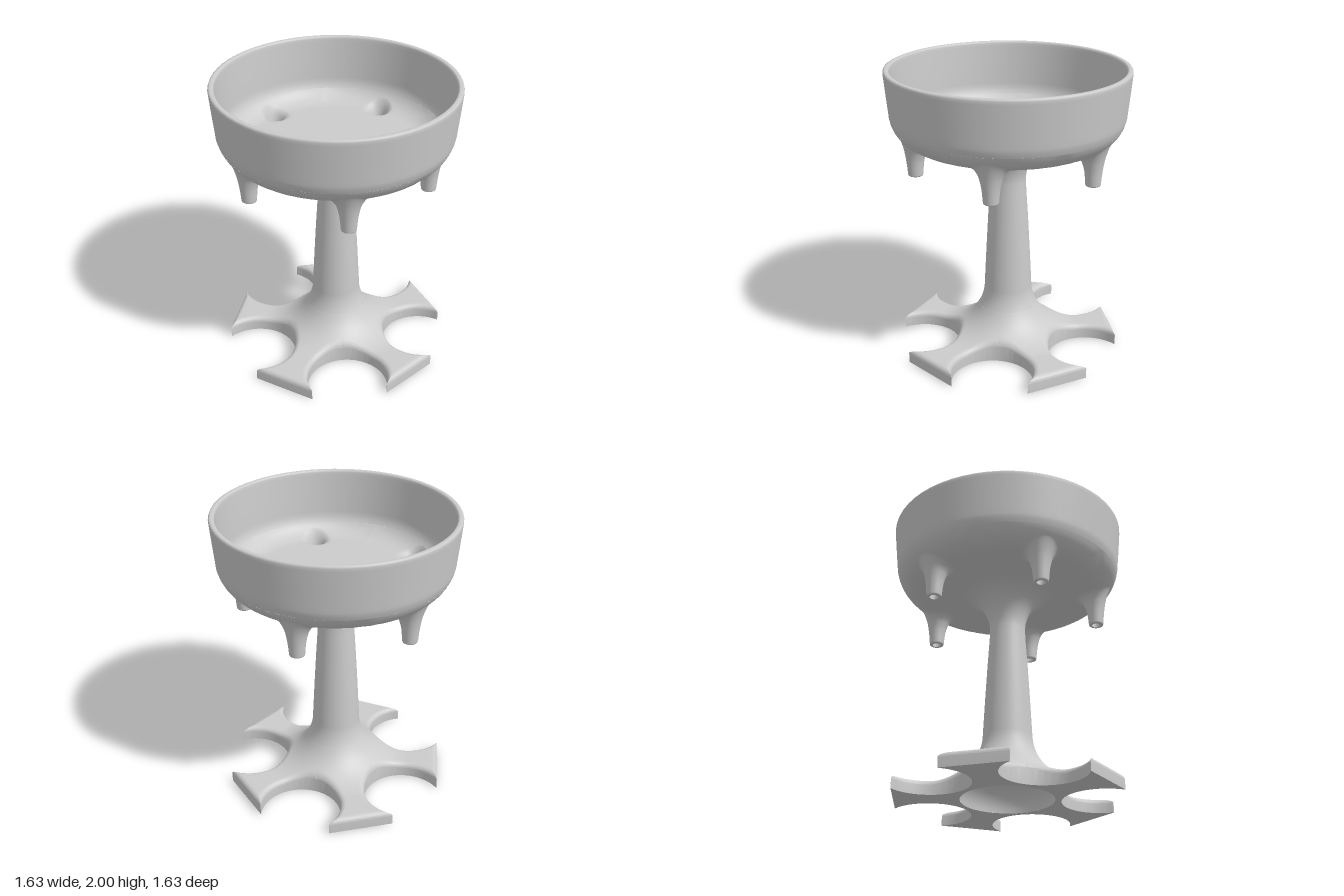
import * as THREE from 'three';
import { mergeGeometries, mergeVertices, toCreasedNormals } from 'three/addons/utils/BufferGeometryUtils.js';

const { PI, cos, sin, sqrt, hypot, abs, max, min } = Math;
const STEP = (2 * PI) / 5;        // fivefold symmetry
const SPOUT_ANGLE = 0.3 * PI;     // first spout, measured from +x towards +z
const ARM_ANGLE = 0.5 * PI;       // first foot points to the front
const SPOUT_R = 0.625;            // distance of spouts from the axis
const CUT_R = 0.274;              // round recess in the foot below each spout
const FOOT = 0.74;                // reach of each foot
const EDGE = 0.035;               // rounding of the upper foot edges
const CORNER = 0.006;             // rounding of the upright foot corners
const COLUMN_R = 0.2;             // radius where column and base meet
const CUT_U = SPOUT_R * cos(PI / 5), CUT_V = SPOUT_R * sin(PI / 5);
const CUT_START = (SPOUT_R - CUT_R) * cos(PI / 5);

// Stations along a foot, closer together at both ends
const STATIONS = [];
for (let k = 0; k < 28; k++) STATIONS.push(CUT_START + (FOOT - EDGE - CUT_START) * (k / 28) ** 1.3);
for (let k = 0; k <= 8; k++) STATIONS.push(FOOT - EDGE + EDGE * sin(k / 8 * PI / 2));

// Grid surface from a rule f(i, j) -> [x, y, z]
function grid(rows, cols, f, flip = false) {
  const pos = [], idx = [];
  for (let i = 0; i < rows; i++) for (let j = 0; j < cols; j++) pos.push(...f(i, j));
  for (let i = 0; i < rows - 1; i++) for (let j = 0; j < cols - 1; j++) {
    const a = i * cols + j, b = a + cols, c = b + 1, d = a + 1;
    idx.push(...(flip ? [a, d, b, b, d, c] : [a, b, d, b, c, d]));
  }
  const g = new THREE.BufferGeometry();
  g.setAttribute('position', new THREE.Float32BufferAttribute(pos, 3));
  g.setIndex(idx);
  return g;
}

// Five turned copies welded into one geometry
function fiveTimes(g, start) {
  const copies = [0, 1, 2, 3, 4].map(k => g.clone().rotateY(-(start + k * STEP)));
  const all = mergeVertices(mergeGeometries(copies), 1e-4);
  all.computeVertexNormals();
  return all;
}

const lathe = pts => new THREE.LatheGeometry(pts.map(p => new THREE.Vector2(p[0], p[1])), 60);

// Height of a rounded dish at radius r: flat floor, then elliptical rise
const dish = (r, r0, a, y0, b) =>
  r < r0 ? y0 : y0 + b * (1 - sqrt(max(0, 1 - ((r - r0) / a) ** 2)));
const outerY = r => dish(r, 0.58, 0.21, 1.5, 0.22);
const innerY = r => dish(r, 0.59, 0.165, 1.545, 0.155);

// One fifth of the dish floor, drawn down into a spout.
// profile entries: [distance from spout axis, y, blend to the dish];
// beyond d0 the flare is shorter on the side of the bowl wall.
function spoutSector(R, baseY, profile, d0, flip) {
  const corner = Math.atan2(R * sin(PI / 5), R * cos(PI / 5) - SPOUT_R);
  const phis = [];
  for (let k = 0; k < 14; k++) phis.push(-PI + (PI - corner) * k / 14);
  for (let k = 0; k < 28; k++) phis.push(-corner + 2 * corner * k / 28);
  for (let k = 0; k <= 14; k++) phis.push(corner + (PI - corner) * k / 14);
  const reach = phi => {
    if (abs(phi) <= corner + 1e-6) {
      const c = SPOUT_R * cos(phi);
      return -c + sqrt(c * c + R * R - SPOUT_R * SPOUT_R);
    }
    return SPOUT_R * sin(PI / 5) / sin(abs(phi) - PI / 5);
  };
  const n = profile.length, extra = 12;
  return grid(n + extra, phis.length, (i, j) => {
    const phi = phis[j], shrink = 1 - 0.2 * (1 + cos(phi));
    let [d, y, t] = profile[min(i, n - 1)];
    if (d > d0) d = d0 + (d - d0) * shrink;
    if (i >= n) d += (reach(phi) - d) * (i - n + 1) / extra;
    const x = SPOUT_R + d * cos(phi), z = d * sin(phi);
    return [x, y * (1 - t) + baseY(hypot(x, z)) * t, z];
  }, flip);
}

// Top of the base: column fillet running out to flat feet
const baseTop = r => r >= 0.52 ? 0.1
  : 0.45 - 0.35 * sqrt(max(0, 1 - ((0.52 - r) / 0.355) ** 2));

// Half width of a foot at distance u from the axis
function footHalf(u) {
  const c = max(0, u - FOOT + CORNER);
  return CUT_V - sqrt(CUT_R ** 2 - (u - CUT_U) ** 2) - CORNER + sqrt(max(0, CORNER ** 2 - c * c));
}

function footGeometry() {
  const cols = 33, inner = 10, rows = inner + STATIONS.length;
  // the extra last row and outer columns form the side walls
  const g = grid(rows + 1, cols + 2, (i, j) => {
    let u = STATIONS[min(max(i - inner, 0), STATIONS.length - 1)];
    const t = (min(max(j - 1, 0), cols - 1) / (cols - 1)) * 2 - 1;
    let v = footHalf(u) * sin(t * PI / 2);
    if (i < inner) {               // fan inwards to the column
      const s0 = COLUMN_R / hypot(u, v), s = s0 + (1 - s0) * i / inner;
      u *= s;
      v *= s;
    }
    const d = max(0, min(hypot(u - CUT_U, abs(v) - CUT_V) - CUT_R, FOOT - u));
    const e = max(0, EDGE - d);
    const top = baseTop(hypot(u, v)) - EDGE + sqrt(max(0, EDGE * EDGE - e * e));
    const wall = i === rows || ((j === 0 || j === cols + 1) && i >= inner);
    return [u, wall ? 0 : top, v];
  }, true);
  return toCreasedNormals(fiveTimes(g, ARM_ANGLE), 0.9);
}

// Flat underside with a round opening
function undersideGeometry() {
  const pts = [];
  for (let k = 0; k < 5; k++) {
    const a = ARM_ANGLE + k * STEP;
    const put = (u, v) =>
      pts.push(new THREE.Vector2(u * cos(a) - v * sin(a), u * sin(a) + v * cos(a)));
    STATIONS.forEach(u => put(u, -footHalf(u)));
    // the innermost point is shared with the next foot
    STATIONS.slice(1).reverse().forEach(u => put(u, footHalf(u)));
  }
  const shape = new THREE.Shape(pts);
  shape.holes.push(new THREE.Path().absarc(0, 0, 0.31, 0, 2 * PI, true));
  return new THREE.ShapeGeometry(shape, 60).rotateX(PI / 2);
}

export function createModel() {
  const model = new THREE.Group();
  const mat = new THREE.MeshStandardMaterial({ color: 0xcccccc });
  const add = (name, geo) => {
    const m = new THREE.Mesh(geo, mat);
    m.name = name;
    model.add(m);
  };

  // Bowl wall: up the outside, over the rim, down the inside
  const wall = [0.77, 0.777, 0.783, 0.787].map(r => [r, outerY(r)]);
  wall.push([0.79, 1.72], [0.8, 1.82], [0.8135, 1.965], [0.815, 1.985], [0.811, 1.996], [0.803, 2],
    [0.787, 2], [0.779, 1.996], [0.775, 1.985], [0.774, 1.965], [0.762, 1.82], [0.755, 1.7]);
  for (const r of [0.753, 0.748, 0.742, 0.735]) wall.push([r, innerY(r)]);
  add('bowlWall', lathe(wall));

  // Bowl bottom with spouts, outside and inside
  add('bowlUndersideAndSpouts', fiveTimes(spoutSector(0.77, outerY, [
    [0.03, 1.28, 0], [0.044, 1.28, 0], [0.049, 1.283, 0], [0.051, 1.29, 0], [0.055, 1.34, 0],
    [0.06, 1.38, 0.02], [0.067, 1.4, 0.1], [0.078, 1.425, 0.25], [0.09, 1.437, 0.45],
    [0.105, 1.445, 0.67], [0.122, 1.46, 0.88], [0.14, 1.5, 1]], 0.06, false), SPOUT_ANGLE));
  add('bowlFloorAndFunnels', fiveTimes(spoutSector(0.735, innerY, [
    [0.03, 1.28, 0], [0.031, 1.38, 0], [0.034, 1.43, 0], [0.041, 1.46, 0.06], [0.051, 1.475, 0.22],
    [0.064, 1.49, 0.45], [0.08, 1.5, 0.7], [0.098, 1.51, 0.9], [0.115, 1.54, 1]], 0.04, true), SPOUT_ANGLE));

  // Column with flared ends
  const column = [], start = Math.acos((0.52 - COLUMN_R) / 0.355);
  for (let k = 0; k <= 10; k++) {
    const a = start * (1 - k / 10);
    column.push([0.52 - 0.355 * cos(a), 0.45 - 0.35 * sin(a)]);
  }
  column.push([0.152, 0.7], [0.138, 0.95], [0.125, 1.15]);
  for (let k = 0; k <= 14; k++) {
    const a = k / 14 * PI / 2;
    column.push([0.37 - 0.248 * cos(a), 1.22 + 0.281 * sin(a)]);
  }
  add('column', lathe(column));

  // Base: five feet, underside and domed hollow
  add('feet', footGeometry());
  add('baseUnderside', undersideGeometry());
  const dome = [];
  for (let k = 0; k <= 12; k++) {
    const a = k / 12 * PI / 2;
    dome.push([0.31 * sin(a), 0.24 * cos(a)]);
  }
  add('baseHollow', lathe(dome));
  return model;
}
